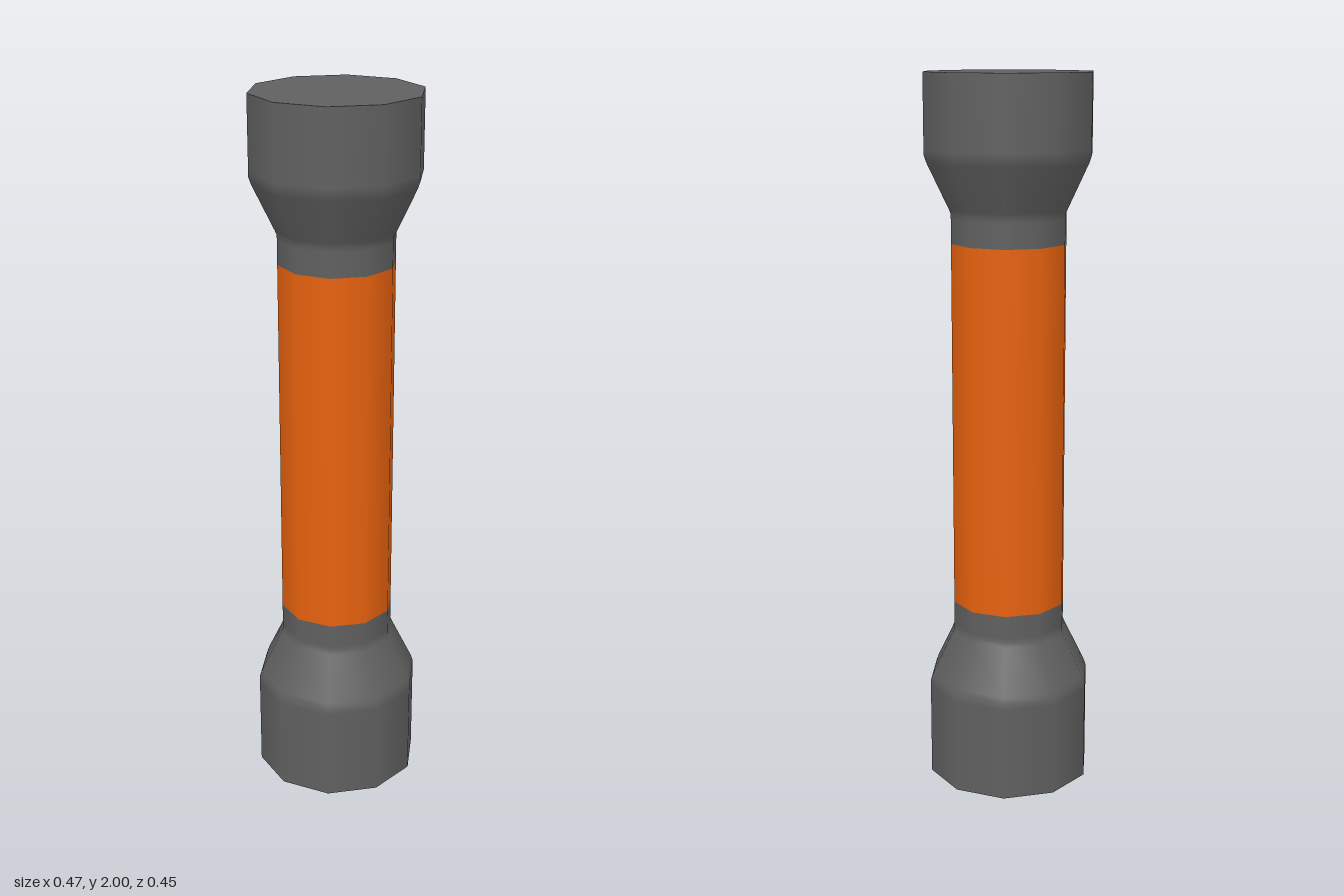
import * as THREE from 'three';

const SIDES = 10;
const HEAD = 0.234, SHAFT = 0.162;

export function createModel() {
  const group = new THREE.Group();
  const grey = new THREE.MeshStandardMaterial({ color: 0x606060 });
  grey.name = 'dark grey';
  const orange = new THREE.MeshStandardMaterial({ color: 0xe8620e });
  orange.name = 'orange';

  const add = (name, geometry, material) => {
    const mesh = new THREE.Mesh(geometry, material);
    mesh.name = name;
    group.add(mesh);
    return mesh;
  };
  // Ten-sided turned part with a corner on the x axis; profile runs upwards
  const turned = (name, profile, material) => add(name, new THREE.LatheGeometry(
    profile.map(([r, y]) => new THREE.Vector2(r, y)), SIDES, Math.PI / 2), material);

  // End caps with narrow softened bends into the flare
  turned('lowerEnd', [
    [HEAD, 0], [HEAD, 0.27], [HEAD, 0.285], [HEAD - 0.007, 0.305],
    [SHAFT + 0.005, 0.43], [SHAFT, 0.442], [SHAFT, 0.455], [SHAFT, 0.52],
  ], grey);
  turned('upperEnd', [
    [SHAFT, 1.547], [SHAFT, 1.615], [SHAFT, 1.628], [SHAFT + 0.005, 1.64],
    [HEAD - 0.007, 1.765], [HEAD, 1.785], [HEAD, 1.8], [HEAD, 2],
  ], grey);

  // Coloured grip
  turned('grip', [[SHAFT, 0.52], [SHAFT, 1.547]], orange);

  // Flat end faces
  const face = new THREE.CircleGeometry(HEAD, SIDES);
  const top = add('topFace', face, grey);
  top.rotation.x = -Math.PI / 2;
  top.position.y = 2;
  const bottom = add('bottomFace', face, grey);
  bottom.rotation.x = Math.PI / 2;

  return group;
}
